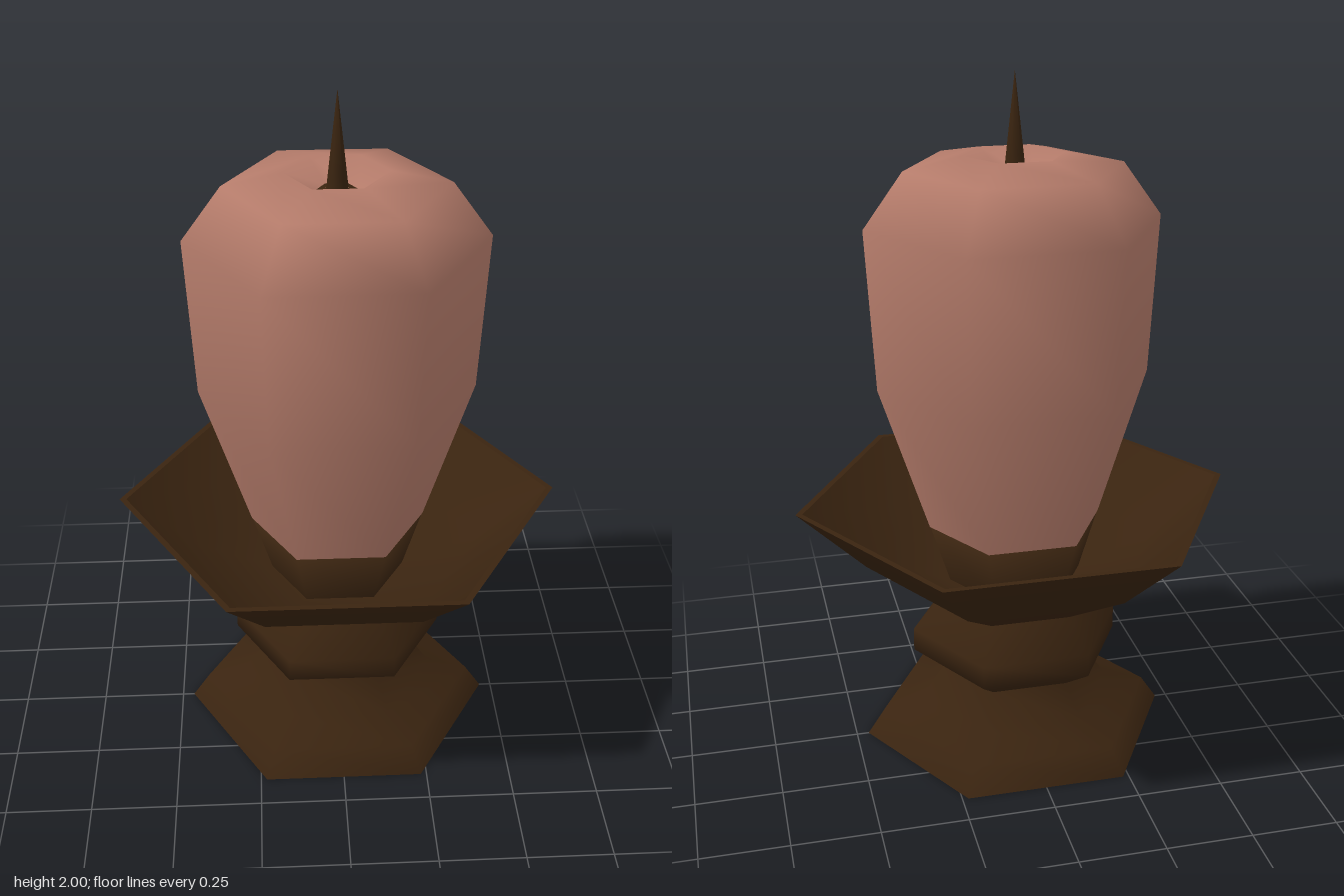
import * as THREE from 'three';

export function createModel() {
  const model = new THREE.Group();
  const wood = new THREE.MeshStandardMaterial({ color: 0x3a2410, side: THREE.DoubleSide });
  wood.name = 'dark wood';
  const wax = new THREE.MeshStandardMaterial({ color: 0xb47b6a, side: THREE.DoubleSide });
  wax.name = 'pink wax';

  // six-sided turned part with corners on the x axis; profile is [radius, height]
  function turned(name, profile, material) {
    const points = profile.map(([r, y]) => new THREE.Vector2(r, y));
    const mesh = new THREE.Mesh(new THREE.LatheGeometry(points, 6, Math.PI / 2), material);
    mesh.name = name;
    model.add(mesh);
    return mesh;
  }

  // hollow foot, closed at its neck
  turned('foot', [[0.465, 0], [0.415, 0.075], [0.29, 0.115], [0.222, 0.21]], wood);
  const neckCap = new THREE.Mesh(new THREE.CircleGeometry(0.222, 6), wood);
  neckCap.rotation.x = Math.PI / 2;
  neckCap.position.y = 0.21;
  neckCap.name = 'footCap';
  model.add(neckCap);

  // stem knob
  turned('stemKnob', [[0.222, 0.21], [0.315, 0.275], [0.315, 0.345], [0.235, 0.44]], wood);

  // dish: outside, thin rim and inside
  turned('dishOutside', [[0.235, 0.44], [0.45, 0.57], [0.65, 0.76]], wood);
  turned('dishRim', [[0.65, 0.76], [0.63, 0.76]], wood);
  turned('dishInside', [[0.63, 0.76], [0.43, 0.59], [0.2, 0.5], [0, 0.5]], wood);

  // socket holding the candle
  turned('candleSocket', [[0.2, 0.5], [0.258, 0.685], [0, 0.685]], wood);

  // candle with a hollow melted around the wick
  turned('candle', [
    [0.258, 0.68], [0.4, 1.12], [0.425, 1.585], [0.312, 1.74],
    [0.145, 1.775], [0.06, 1.72], [0, 1.705],
  ], wax);

  // wick with a flared root
  turned('wickRoot', [[0.062, 1.722], [0.032, 1.73]], wood);
  turned('wick', [[0.032, 1.71], [0.025, 1.775], [0, 2]], wood);

  return model;
}
